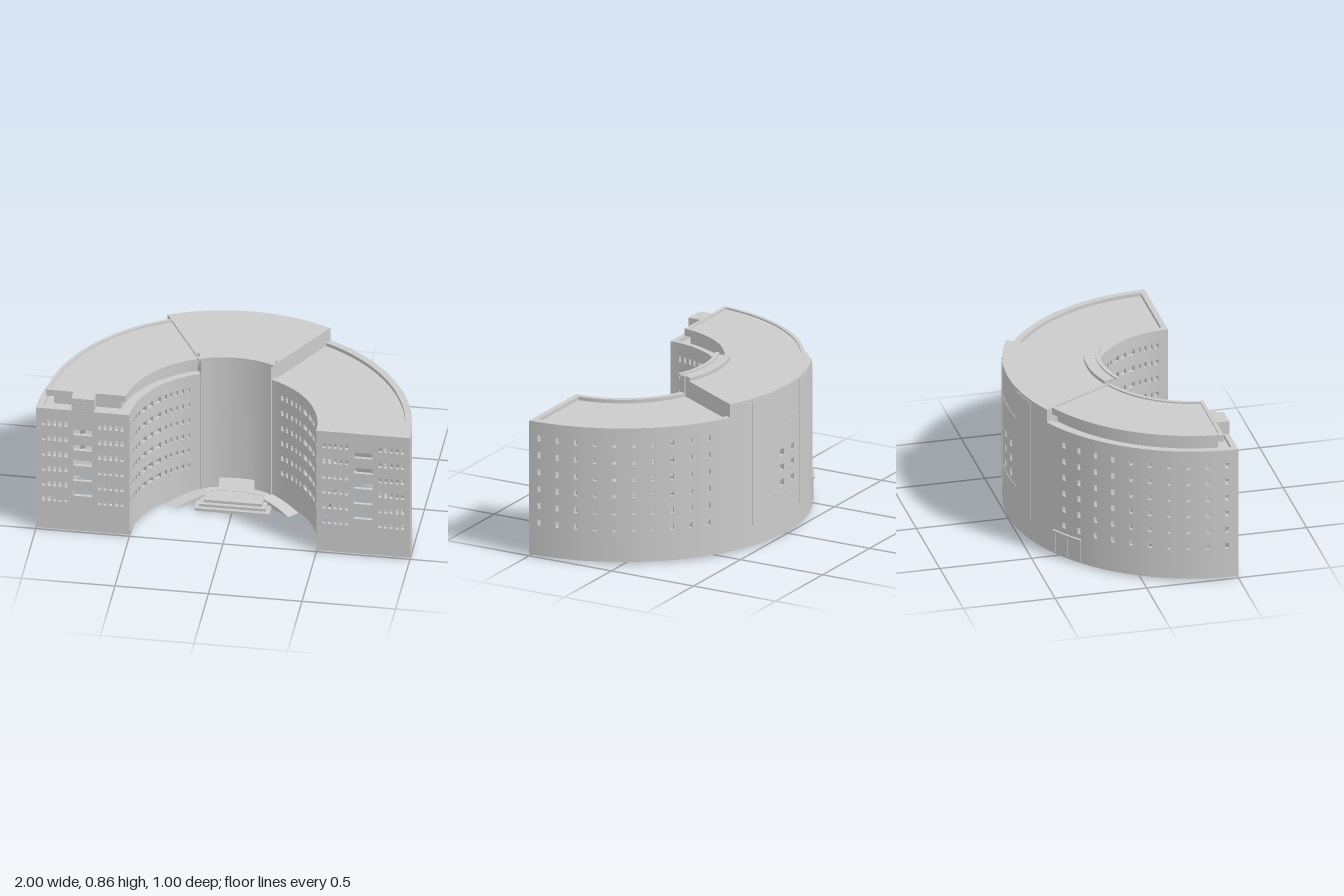
import * as THREE from 'three';
import { toCreasedNormals, mergeVertices } from 'three/addons/utils/BufferGeometryUtils.js';

const material = new THREE.MeshStandardMaterial({ color: 0xcccccc, side: THREE.DoubleSide });
const ZC = 0.5;                       // centre of the semicircular plan, on z
const rad = Math.PI / 180;
const BASE = 0.01, EAVES = 0.755;
const ROWS = [0.195, 0.288, 0.382, 0.475, 0.57, 0.665];

// Point on the plan: angle in degrees from the back, positive towards +x
const plan = (r, a) => [r * Math.sin(a * rad), ZC - r * Math.cos(a * rad)];
// Angle at which radius r comes within `inset` of the wing's end wall
const endAngle = (r, inset) => Math.acos(inset / r) / rad;

function range(a, b, step) {
  const n = Math.max(1, Math.ceil((b - a) / step));
  return Array.from({ length: n + 1 }, (_, i) => a + (b - a) * i / n);
}

function add(parent, name, geometry) {
  const mesh = new THREE.Mesh(geometry, material);
  mesh.name = name;
  parent.add(mesh);
  return mesh;
}

function box(parent, name, w, h, d, x, y, z) {
  return add(parent, name, new THREE.BoxGeometry(w, h, d).translate(x, y, z));
}

// Ring sector outline; each side is [radius, startAngle, endAngle]
function outline([r0, a0, b0], [r1, a1, b1]) {
  const at = r => a => { const [x, z] = plan(r, a); return new THREE.Vector2(x, -z); };
  return [...range(a1, b1, 3).map(at(r1)), ...range(a0, b0, 3).reverse().map(at(r0))];
}

function sector(parent, name, inner, outer, y0, y1, hole) {
  const shape = new THREE.Shape(outline(inner, outer));
  if (hole) shape.holes.push(new THREE.Path(outline(...hole)));
  const geo = new THREE.ExtrudeGeometry(shape, { depth: y1 - y0, bevelEnabled: false });
  geo.rotateX(-Math.PI / 2).translate(0, y0, 0);
  return add(parent, name, toCreasedNormals(geo, 0.5));
}

// Wall sheet with rectangular openings [u0, u1, v0, v1]; each opening gets reveals of given depth.
// map(u, v, depth) places a point of the wall.
function wall(parent, name, map, us, vs, holes, depth) {
  const lines = (list, i) => [...new Set([...list, ...holes.flatMap(h => [h[i], h[i + 1]])]
    .map(v => +v.toFixed(4)))].sort((a, b) => a - b);
  const U = lines(us, 0), V = lines(vs, 2), pos = [];
  const quad = (a, b, c, d) => [a, b, c, a, c, d].forEach(p => pos.push(...p));
  for (let i = 0; i + 1 < U.length; i++) for (let j = 0; j + 1 < V.length; j++) {
    const [a, b, c, d] = [U[i], U[i + 1], V[j], V[j + 1]];
    const u = (a + b) / 2, v = (c + d) / 2;
    if (holes.some(h => u > h[0] && u < h[1] && v > h[2] && v < h[3])) continue;
    quad(map(a, c, 0), map(b, c, 0), map(b, d, 0), map(a, d, 0));
  }
  for (const [a, b, c, d] of holes) {
    const steps = range(a, b, Math.max((b - a) / 4, 0.01));
    const ring = [...steps.map(u => [u, c]), ...steps.reverse().map(u => [u, d])];
    ring.forEach((p, i) => {
      const q = ring[(i + 1) % ring.length];
      quad(map(...p, 0), map(...p, depth), map(...q, depth), map(...q, 0));
    });
  }
  const geo = new THREE.BufferGeometry();
  geo.setAttribute('position', new THREE.Float32BufferAttribute(pos, 3));
  return add(parent, name, toCreasedNormals(geo, 0.5));
}

// Curved wall mapping: positive depth moves along `sign` in radius
const curved = (r, sign) => (a, y, d) => {
  const [x, z] = plan(r + sign * d, a);
  return [x, y, z];
};

// Windows of given width and height centred at u on every row
const windows = (us, w, h, rows = ROWS) =>
  us.flatMap(u => rows.map(y => [u - w / 2, u + w / 2, y - h / 2, y + h / 2]));

// Curved ramp beside the entrance steps, falling away from the door
function ramp(parent, side) {
  const pos = [], idx = [], n = 8;
  for (let i = 0; i <= n; i++) {
    const a = side * (19 + 25 * i / n), y = 0.045 * (1 - i / n) + 0.004;
    const [xi, zi] = plan(0.43, a), [xo, zo] = plan(0.5, a);
    pos.push(xi, 0.002, zi, xi, y, zi, xo, y, zo, xo, 0.002, zo);
    if (i < n) for (let k = 0; k < 4; k++) {
      const p = i * 4 + k, q = i * 4 + (k + 1) % 4;
      if (side < 0) idx.push(p, q, q + 4, p, q + 4, p + 4);
      else idx.push(p, q + 4, q, p, p + 4, q + 4);
    }
  }
  const geo = new THREE.BufferGeometry();
  geo.setAttribute('position', new THREE.Float32BufferAttribute(pos, 3));
  geo.setIndex(idx);
  add(parent, side > 0 ? 'leftRamp' : 'rightRamp', toCreasedNormals(mergeVertices(geo), 0.5));
}

export function createModel() {
  const model = new THREE.Group();
  model.name = 'curvedBuilding';

  // Outer wall: ten window columns per wing and six stair windows at the back
  const columns = Array.from({ length: 10 }, (_, i) => 86.6 - 5.92 * i);
  const outerHoles = [
    ...windows([...columns, ...columns.map(a => -a)], 1.05, 0.032),
    ...windows([-3.2, 3.2], 2, 0.035, [0.3, 0.385, 0.47]),
  ];
  wall(model, 'outerWall', curved(1, -1), range(-90, 90, 3), [BASE, EAVES], outerHoles, 0.018);

  for (const side of [1, -1]) {
    const wing = new THREE.Group();
    wing.name = side > 0 ? 'leftWing' : 'rightWing';
    model.add(wing);
    const mirror = map => (u, v, d) => { const [x, y, z] = map(u, v, d); return [side * x, y, z]; };

    // Courtyard wall: narrow and wide windows
    const innerHoles = [
      ...windows([83, 79, 75, 71, 46, 42, 38, 34, 30], 1.7, 0.03),
      ...windows([65, 58.5, 52], 4.4, 0.03),
    ];
    wall(wing, 'courtyardWall', mirror(curved(0.5, 1)), range(20, 90, 3), [BASE, EAVES], innerHoles, 0.018);

    // End wall: two groups of narrow windows and wide landing windows between the floors
    const narrow = [0, 1, 2, 3, 4].flatMap(i => [0.54 + i * 0.03, 0.84 + i * 0.03]);
    const endHoles = [
      ...windows(narrow, 0.016, 0.03),
      ...windows([0.75], 0.1, 0.034, [0.242, 0.335, 0.43, 0.525, 0.62]),
    ];
    wall(wing, 'endWall', mirror((x, y, d) => [x, y, ZC - d]), [0.5, 1], [BASE, EAVES], endHoles, 0.018);

    // Roof deck and its low parapet
    const s = (r, a, b) => side > 0 ? [r, a, b] : [r, -b, -a];
    const ring = (r, a, inset) => s(r, a, endAngle(r, inset));
    sector(wing, 'roofDeck', s(0.5, 20, 90), s(1, 24, 90), 0.715, 0.735);
    sector(wing, 'parapet', s(0.5, 20, 90), s(1, 24, 90), 0.735, EAVES,
      [ring(0.53, 21.5, 0.03), ring(0.965, 25, 0.03)]);

    // Raised roof storey on one wing only, with an overhanging rimmed slab
    if (side < 0) {
      sector(wing, 'roofStorey', ring(0.565, 22.5, 0.09), ring(0.92, 24.5, 0.09), 0.735, 0.79);
      sector(wing, 'roofSlab', ring(0.535, 22, 0.07), ring(0.96, 25, 0.07), 0.79, 0.82);
      sector(wing, 'slabRim', ring(0.535, 22, 0.07), ring(0.96, 25, 0.07), 0.82, 0.828,
        [ring(0.555, 22.8, 0.09), ring(0.94, 25.5, 0.09)]);
      box(wing, 'liftHousing', 0.12, 0.095, 0.075, -0.75, 0.7825, 0.4615);
      box(wing, 'liftHousingPanel', 0.1, 0.034, 0.004, -0.75, 0.79, 0.499);
    }
    ramp(model, side);
  }

  // Central tower: top storey, crown and concave front with a tall recessed doorway
  const tower = new THREE.Group();
  tower.name = 'centralTower';
  model.add(tower);
  sector(tower, 'towerTop', [0.55, -22, 22], [1, -25.8, 25.8], 0.735, 0.83);
  sector(tower, 'towerRoofStep', [0.505, -22, 22], [0.57, -22, 22], 0.715, 0.85);
  sector(tower, 'towerCrown', [0.488, -24, 24], [0.51, -24, 24], 0.845, 0.858);
  wall(tower, 'towerFront', curved(0.49, 1), range(-22, 22, 2), [BASE, 0.85],
    [[-11.2, 11.2, 0.05, 0.5]], 0.09);
  wall(tower, 'doorwayBack', curved(0.58, 1), range(-11.2, 11.2, 2.8), [0.05, 0.5], [], 0);
  for (const side of [1, -1]) {
    const s = (r, a, b) => side > 0 ? [r, a, b] : [r, -b, -a];
    sector(tower, 'towerPier', s(0.489, 21, 22.5), s(0.53, 21, 22.5), BASE, 0.85);
    // Tall shallow strip on the back of the tower
    sector(tower, 'backStrip', s(0.995, 8.5, 17.3), s(1.003, 8.5, 17.3), 0.125, 0.815);
  }
  // Framed panel round the stair windows
  sector(tower, 'stairFrameTop', [0.995, -7.5, 7.5], [1.003, -7.5, 7.5], 0.645, 0.655);
  sector(tower, 'stairLedge', [0.995, -7.5, 7.5], [1.003, -7.5, 7.5], 0.245, 0.255);

  // Back door with frame and canopy
  const door = new THREE.Group();
  door.name = 'backDoor';
  model.add(door);
  sector(door, 'canopy', [0.99, -40, -29], [1.012, -40, -29], 0.14, 0.15);
  for (const a of [-40, -35, -30]) {
    sector(door, 'doorPost', [0.99, a, a + 1], [1.006, a, a + 1], 0.02, 0.14);
  }

  // Entrance steps
  [[0.2, 0.195], [0.178, 0.175], [0.156, 0.155]].forEach(([w, z], i) => {
    box(model, 'entranceStep', w * 2, 0.016, z - 0.03, 0, 0.008 + i * 0.016, (z + 0.03) / 2);
  });
  sector(model, 'entranceFloor', [0.45, -20, 20], [0.6, -16, 16], 0.03, 0.05);

  return model;
}
